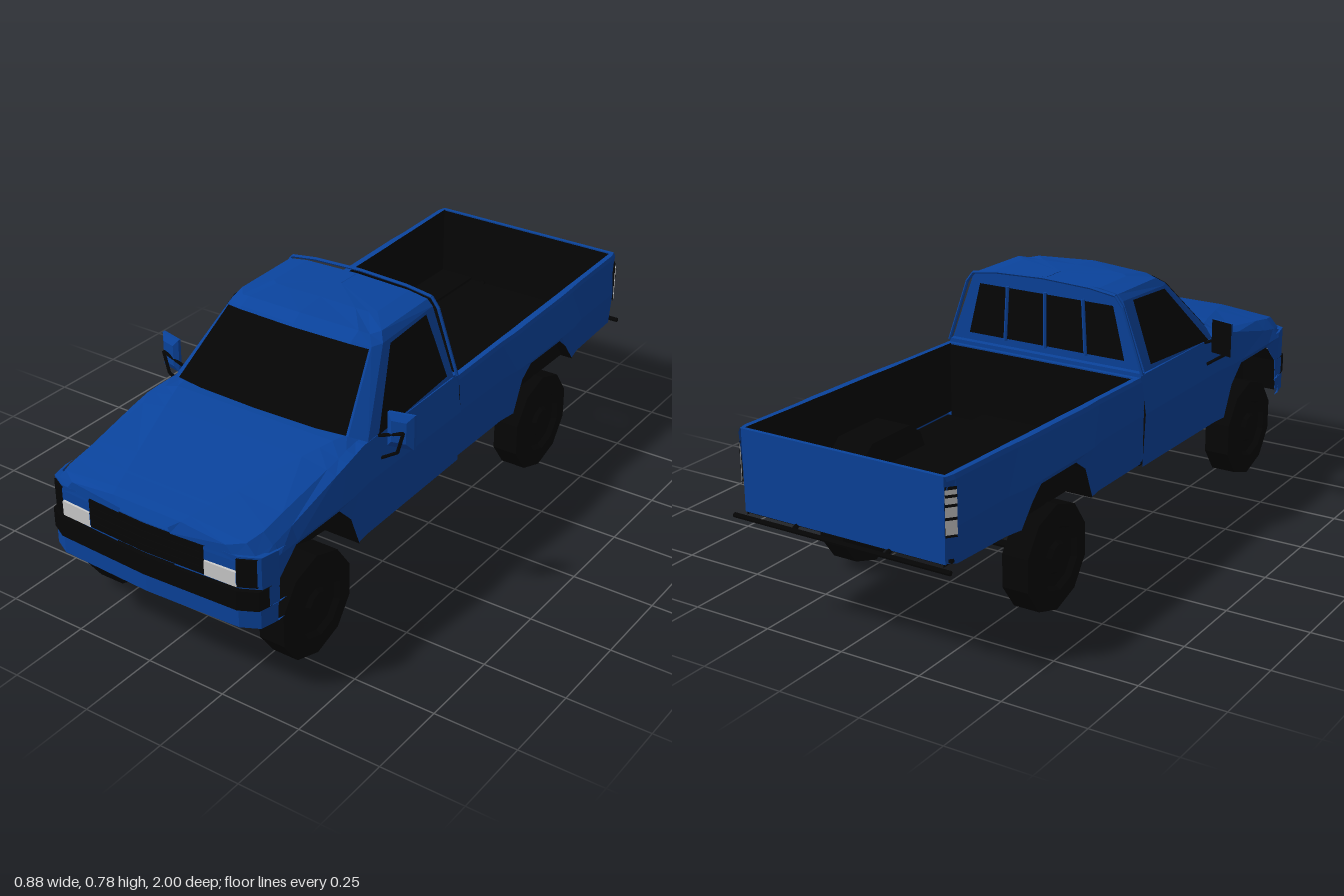
import * as THREE from 'three';

const paint = (color) => new THREE.MeshStandardMaterial({ color, flatShading: true, side: THREE.DoubleSide });

export function createModel() {
  const truck = new THREE.Group();
  const blue = paint(0x0a439c), black = paint(0x050505), grey = paint(0xcccccc);

  const add = (name, geo, mat) => {
    const mesh = new THREE.Mesh(geo, mat);
    mesh.name = name;
    truck.add(mesh);
    return mesh;
  };
  // Skin through cross-sections with equal point counts
  const loft = (name, rings, mat, closed = false) => {
    const n = rings[0].length, idx = [];
    for (let i = 0; i < rings.length - 1; i++)
      for (let j = 0; j < (closed ? n : n - 1); j++) {
        const a = i * n + j, b = i * n + (j + 1) % n;
        idx.push(a, b, a + n, b, b + n, a + n);
      }
    const geo = new THREE.BufferGeometry();
    geo.setAttribute('position', new THREE.Float32BufferAttribute(rings.flat(2), 3));
    geo.setIndex(idx);
    geo.computeVertexNormals();
    return add(name, geo, mat);
  };
  const box = (name, x0, x1, y0, y1, z0, z1, mat) => {
    const geo = new THREE.BoxGeometry(Math.abs(x1 - x0), y1 - y0, z1 - z0);
    return add(name, geo.translate((x0 + x1) / 2, (y0 + y1) / 2, (z0 + z1) / 2), mat);
  };
  const rod = (name, pts, r, mat, sides = 6) => {
    for (let i = 0; i < pts.length - 1; i++) {
      const a = new THREE.Vector3(...pts[i]), d = new THREE.Vector3(...pts[i + 1]).sub(a);
      const mesh = add(name, new THREE.CylinderGeometry(r, r, d.length(), sides), mat);
      mesh.position.copy(a).addScaledVector(d, 0.5);
      mesh.quaternion.setFromUnitVectors(new THREE.Vector3(0, 1, 0), d.normalize());
    }
  };
  const mirrored = (half) => [...half, ...half.filter((p) => p[0] > 0).reverse().map(([x, y, z]) => [-x, y, z])];

  // Cab lower body and hood: [z, bottom, shoulder, crown, half width]
  const bodyStations = [
    [0.0, 0.255, 0.535, 0.54, 0.352], [0.47, 0.25, 0.53, 0.545, 0.354], [0.52, 0.25, 0.525, 0.545, 0.36],
    [0.56, 0.35, 0.52, 0.54, 0.364], [0.615, 0.405, 0.508, 0.533, 0.365], [0.81, 0.405, 0.46, 0.503, 0.365],
    [0.88, 0.34, 0.447, 0.491, 0.365], [0.89, 0.225, 0.445, 0.489, 0.365], [0.945, 0.225, 0.436, 0.48, 0.352],
    [0.972, 0.225, 0.43, 0.473, 0.3], [0.985, 0.225, 0.425, 0.45, 0.1],
  ];
  loft('cabBodyAndHood', bodyStations.map(([z, yb, ys, yc, w]) => {
    const crease = Math.min(w * 0.8, 0.28, 0.11 + (0.985 - z) * 0.34);
    return mirrored([[w - 0.008, yb, z], [w, 0.42, z], [w * 0.95, ys, z], [w * 0.87, yc - 0.014, z], [crease, yc, z]]);
  }), blue);
  box('cabBackWall', -0.334, 0.334, 0.26, 0.54, 0, 0.02, blue);

  // Nose bands follow the rounded front in plan
  const plan = [[0, 0.985], [0.3, 0.972], [0.352, 0.945], [0.365, 0.89]];
  const planZ = (x) => {
    const a = Math.min(Math.abs(x), 0.365);
    const i = Math.max(1, plan.findIndex((p) => p[0] >= a));
    const [x0, z0] = plan[i - 1], [x1, z1] = plan[i];
    return z0 + (z1 - z0) * (a - x0) / (x1 - x0);
  };
  const band = (name, x0, x1, y0, y1, out, mat) => {
    const breaks = [-0.352, -0.3, 0, 0.3, 0.352].filter((x) => x > x0 && x < x1);
    loft(name, [x0, ...breaks, x1].map((x) => {
      const z = planZ(x) + out;
      return [[x, y0, z - 0.03], [x, y0, z], [x, y1, z], [x, y1, z - 0.03]];
    }), mat);
  };
  band('nosePanel', -0.365, 0.365, 0.28, 0.437, 0, blue);
  band('frontValance', -0.365, 0.365, 0.225, 0.282, 0.008, blue);
  band('frontBumper', -0.36, 0.36, 0.282, 0.341, 0.015, black);
  band('grille', -0.195, 0.195, 0.348, 0.434, 0.006, black);
  for (const y of [0.368, 0.39, 0.412]) band('grilleBar', -0.19, 0.19, y - 0.003, y + 0.003, 0.01, black);
  for (const s of [-1, 1]) {
    const span = (a, b) => (s > 0 ? [a, b] : [-b, -a]);
    band('headlight', ...span(0.195, 0.295), 0.348, 0.392, 0.008, grey);
    band('cornerLamp', ...span(0.295, 0.345), 0.348, 0.432, 0.006, black);
  }

  // Greenhouse and roof
  const greenhouse = [
    [[0, 0.55, 0.5], [0.2, 0.55, 0.497], [0.295, 0.55, 0.485], [0.335, 0.53, 0.45], [0.335, 0.54, 0.02]],
    [[0, 0.74, 0.33], [0.19, 0.738, 0.32], [0.245, 0.728, 0.303], [0.26, 0.73, 0.27], [0.26, 0.742, 0.02]],
    [[0, 0.763, 0.3], [0.19, 0.755, 0.285], [0.22, 0.748, 0.275], [0.242, 0.755, 0.25], [0.242, 0.76, 0.02]],
    [[0, 0.772, 0.2], [0.12, 0.77, 0.2], [0.16, 0.768, 0.195], [0.18, 0.768, 0.18], [0.18, 0.77, 0.02]],
    [[0, 0.775, 0.1], [0.001, 0.775, 0.1], [0.001, 0.775, 0.1], [0.001, 0.775, 0.09], [0.001, 0.775, 0.02]],
  ];
  loft('cabRoof', greenhouse.map(mirrored), blue, true);
  loft('windshield', [
    [[-0.29, 0.553, 0.489], [-0.2, 0.553, 0.502], [0.2, 0.553, 0.502], [0.29, 0.553, 0.489]],
    [[-0.243, 0.725, 0.313], [-0.19, 0.734, 0.332], [0.19, 0.734, 0.332], [0.243, 0.725, 0.313]],
  ].map(([a, b, c, d]) => [a, b, [0, b[1], b[2] + 0.006], c, d]), black);
  for (const s of [-1, 1]) {
    const p = (z, y) => [s * (0.341 - 0.375 * (y - 0.54)), y, z];
    loft('sideWindow', [[p(0.41, 0.535), p(0.055, 0.555)], [p(0.25, 0.726), p(0.065, 0.736)]], black);
  }
  loft('rearWindow', [[[-0.27, 0.565, 0.014], [0.27, 0.565, 0.014]], [[-0.23, 0.725, 0.014], [0.23, 0.725, 0.014]]], black);
  for (const x of [-0.14, 0, 0.14]) rod('rearWindowBar', [[x, 0.56, 0.013], [x * 0.93, 0.73, 0.013]], 0.006, blue);
  rod('cabHoop', mirrored([[0.336, 0.535, 0.002], [0.268, 0.73, 0.002], [0.245, 0.76, 0.002], [0.16, 0.772, 0.002], [0.001, 0.778, 0.002]]), 0.005, blue);

  // Bed sides: [z, bottom, top, half width]
  const bedStations = [
    [-0.004, 0.265, 0.53, 0.348], [-0.25, 0.268, 0.536, 0.35], [-0.31, 0.27, 0.537, 0.36], [-0.35, 0.37, 0.538, 0.363],
    [-0.4, 0.405, 0.54, 0.363], [-0.58, 0.405, 0.544, 0.363], [-0.62, 0.37, 0.545, 0.363],
    [-0.67, 0.305, 0.547, 0.36], [-0.73, 0.307, 0.548, 0.35], [-0.948, 0.315, 0.554, 0.346], [-0.977, 0.32, 0.554, 0.322],
  ];
  for (const s of [-1, 1]) {
    loft('bedSide', bedStations.map(([z, yb, yt, w]) => [
      [s * (w - 0.008), yb, z], [s * w, 0.42, z], [s * (w * 0.3 + 0.235), yt - 0.012, z],
      [s * (w * 0.3 + 0.23), yt, z], [s * 0.318, yt, z],
    ]), blue);
    loft('bedLiner', bedStations.map(([z, , yt]) => [[s * 0.318, yt, z], [s * 0.318, 0.31, z]]), black);
    // Tail lamps sit on the angled rear corners
    const lamp = (name, y0, y1, out, mat) => loft(name, [y0, y1].map((y) => [
      [s * (0.342 + out), y, -0.95 - out], [s * (0.322 + out), y, -0.975 - out]]), mat);
    lamp('tailLampSurround', 0.392, 0.528, 0.004, black);
    lamp('tailLamp', 0.4, 0.52, 0.0055, grey);
    for (const y of [0.44, 0.475, 0.5]) lamp('tailLampBar', y, y + 0.008, 0.007, black);
  }
  box('tailgate', -0.323, 0.323, 0.318, 0.554, -0.977, -0.965, blue);
  box('tailgateLiner', -0.318, 0.318, 0.31, 0.55, -0.965, -0.961, black);
  box('bedFrontWall', -0.332, 0.332, 0.27, 0.53, -0.018, -0.004, blue);
  box('bedFrontLiner', -0.318, 0.318, 0.28, 0.526, -0.022, -0.018, black);
  rod('rearBumperBar', [[-0.35, 0.308, -0.992], [0.35, 0.308, -0.992]], 0.007, black);
  for (const x of [-0.15, 0.15]) rod('rearBumperStay', [[x, 0.308, -0.992], [x, 0.327, -0.95]], 0.007, black);

  // Underside, left open where the wheels sit
  box('bedFloor', -0.2, 0.2, 0.31, 0.322, -0.965, -0.01, black);
  box('cabFloor', -0.24, 0.24, 0.254, 0.266, 0, 0.53, black);
  box('engineBay', -0.24, 0.24, 0.254, 0.42, 0.5, 0.95, black);
  for (const s of [-1, 1]) {
    for (const [z0, z1, y] of [[-0.965, -0.67, 0.32], [-0.31, -0.01, 0.285], [0, 0.52, 0.256]])
      box('sideFloor', s * 0.2, s * 0.334, y, y + 0.01, z0, z1, black);
    box('frontFloor', s * 0.2, s * 0.34, 0.235, 0.245, 0.89, 0.945, black);
  }

  // Wheel wells
  const wells = [
    [0.24, [[0.52, 0.25], [0.56, 0.35], [0.615, 0.405], [0.81, 0.405], [0.88, 0.34], [0.89, 0.235]]],
    [0.2, [[-0.31, 0.27], [-0.35, 0.37], [-0.4, 0.405], [-0.58, 0.405], [-0.62, 0.37], [-0.67, 0.305]]],
  ];
  for (const s of [-1, 1]) for (const [inner, arch] of wells) {
    const mid = (arch[0][0] + arch[5][0]) / 2;
    loft('wheelWell', [
      arch.map(() => [s * inner, 0.27, mid]),
      arch.map(([z, y]) => [s * inner, y, z]),
      arch.map(([z, y]) => [s * 0.356, y, z]),
    ], black);
  }

  // Wheels, axles and drive shafts
  const tyre = [[0, -0.035], [0.08, -0.035], [0.09, -0.045], [0.157, -0.045], [0.157, 0.036],
    [0.095, 0.046], [0.085, 0.03], [0.05, 0.03], [0.04, 0.042], [0, 0.042]];
  const diff = [[0, -0.075], [0.025, -0.065], [0.048, -0.025], [0.053, 0], [0.048, 0.025], [0.025, 0.065], [0, 0.075]];
  const turned = (profile, angle) => new THREE.LatheGeometry(
    profile.map((p) => new THREE.Vector2(...p)), 10, Math.PI / 2).rotateZ(angle);
  for (const z of [0.71, -0.49]) {
    for (const s of [-1, 1]) add('wheel', turned(tyre, -s * Math.PI / 2), black).position.set(s * 0.315, 0.157, z);
    rod('axle', [[-0.28, 0.157, z], [0.28, 0.157, z]], 0.011, black, 8);
    add('differential', turned(diff, Math.PI / 2), black).position.set(0, 0.157, z);
  }
  rod('frontDriveShaft', [[0, 0.165, 0.69], [0, 0.255, 0.35]], 0.011, black);
  rod('rearDriveShaft', [[0, 0.26, 0.22], [0, 0.16, -0.46]], 0.012, black);
  box('transferCase', -0.05, 0.05, 0.245, 0.27, 0.2, 0.37, black);

  // Door mirrors, swept slightly back, on bent tube brackets
  for (const s of [-1, 1]) {
    const ring = (x0, x1, y0, y1, z) => [[x0, y0], [x1, y0], [x1, y1], [x0, y1]]
      .map(([x, y]) => [s * x, y, z + (0.4 - x) * 0.25]);
    loft('mirrorShell', [ring(0.364, 0.438, 0.505, 0.61, 0.381), ring(0.364, 0.438, 0.505, 0.61, 0.391),
      ring(0.38, 0.422, 0.525, 0.59, 0.402), ring(0.401, 0.401, 0.557, 0.557, 0.402)], blue, true);
    const [a, b, c, d] = ring(0.364, 0.438, 0.505, 0.61, 0.381);
    loft('mirrorGlass', [[a, b], [d, c]], black);
    rod('mirrorBracket', [[s * 0.33, 0.525, 0.4], [s * 0.418, 0.562, 0.405], [s * 0.4, 0.497, 0.405], [s * 0.345, 0.46, 0.4]], 0.005, black);
  }
  return truck;
}
